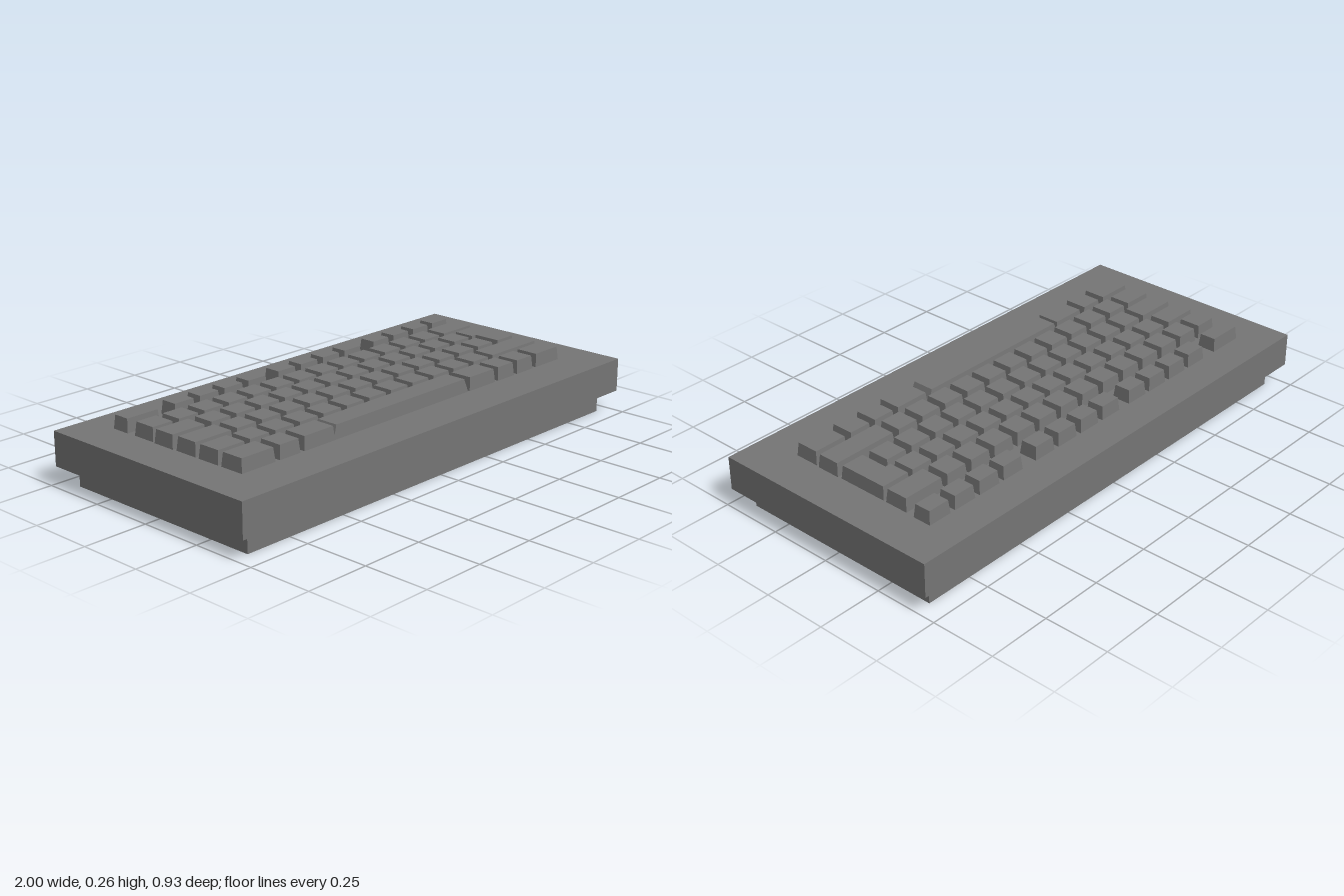
import * as THREE from 'three';

const DECK = 0.21, KEY_TOP = 0.261, TAPER = 0.005;
const material = new THREE.MeshStandardMaterial({ color: 0x767676, flatShading: true });

function box(name, w, h, d, y) {
  const mesh = new THREE.Mesh(new THREE.BoxGeometry(w, h, d), material);
  mesh.name = name;
  mesh.position.y = y + h / 2;
  return mesh;
}

// Keycap from an outline of [x, z] corners, its top pulled in on every side
function keycap(name, outline, taperX = TAPER) {
  const right = Math.max(...outline.map((p) => p[0]));
  const back = Math.min(...outline.map((p) => p[1]));
  const shape = new THREE.Shape(outline.map(([x, z]) => new THREE.Vector2(x, -z)));
  const height = KEY_TOP - DECK;
  const geometry = new THREE.ExtrudeGeometry(shape, { depth: height, bevelEnabled: false });
  geometry.rotateX(-Math.PI / 2);
  const p = geometry.attributes.position;
  for (let i = 0; i < p.count; i++) {
    if (p.getY(i) < height / 2) continue;
    const x = p.getX(i), z = p.getZ(i);
    p.setX(i, x + (x > right - 1e-4 ? -taperX : taperX));
    p.setZ(i, z + (z < back + 1e-4 ? TAPER : -TAPER));
  }
  geometry.computeVertexNormals();
  const mesh = new THREE.Mesh(geometry, material);
  mesh.name = name;
  mesh.position.y = DECK;
  return mesh;
}

const rect = (x0, x1, z0, z1) => [[x0, z1], [x1, z1], [x1, z0], [x0, z0]];

// A run of equal keys: first left edge, count, and spacing
const run = (x, count, pitch) =>
  Array.from({ length: count }, (_, i) => [x + i * pitch, x + i * pitch + 0.096]);

export function createModel() {
  const model = new THREE.Group();
  model.name = 'keyboard';
  model.add(box('base', 1.876, 0.08, 0.84, 0));
  model.add(box('case', 2, DECK - 0.08, 0.934, 0.08));

  // Each row: back edge, front edge, and the left and right edges of its keys
  const rows = [
    { name: 'functionRow', z: [-0.334, -0.261], keys: [
      [-0.846, -0.701], ...run(-0.633, 4, 0.1175), ...run(-0.129, 4, 0.1185), ...run(0.39, 4, 0.1175)] },
    { name: 'numberRow', z: [-0.226, -0.132], keys: [...run(-0.843, 13, 0.1159), [0.663, 0.836]] },
    { name: 'upperRow', z: [-0.121, -0.029], keys: [[-0.846, -0.695], ...run(-0.672, 12, 0.116)] },
    { name: 'homeRow', z: [-0.014, 0.08], keys: [[-0.843, -0.674], ...run(-0.656, 12, 0.1157)] },
    { name: 'lowerRow', z: [0.095, 0.189], keys: [
      [-0.843, -0.717], ...run(-0.7, 11, 0.1154), [0.57, 0.839]] },
    { name: 'bottomRow', z: [0.202, 0.299], keys: [
      [-0.842, -0.692], [-0.672, -0.577], [-0.558, -0.412],
      [0.299, 0.447], [0.465, 0.561], [0.579, 0.675], [0.695, 0.836]] },
  ];
  for (const { name, z, keys } of rows) {
    const row = new THREE.Group();
    row.name = name;
    for (const [x0, x1] of keys) row.add(keycap('key', rect(x0, x1, ...z)));
    model.add(row);
  }

  // Long bar with steeper ends, and the L-shaped key across two rows
  model.add(keycap('spaceBar', rect(-0.418, 0.291, 0.202, 0.298), 0.018));
  model.add(keycap('enterKey', [
    [0.736, 0.08], [0.836, 0.08], [0.836, -0.121], [0.713, -0.121], [0.713, -0.03], [0.736, -0.03],
  ]));
  return model;
}
